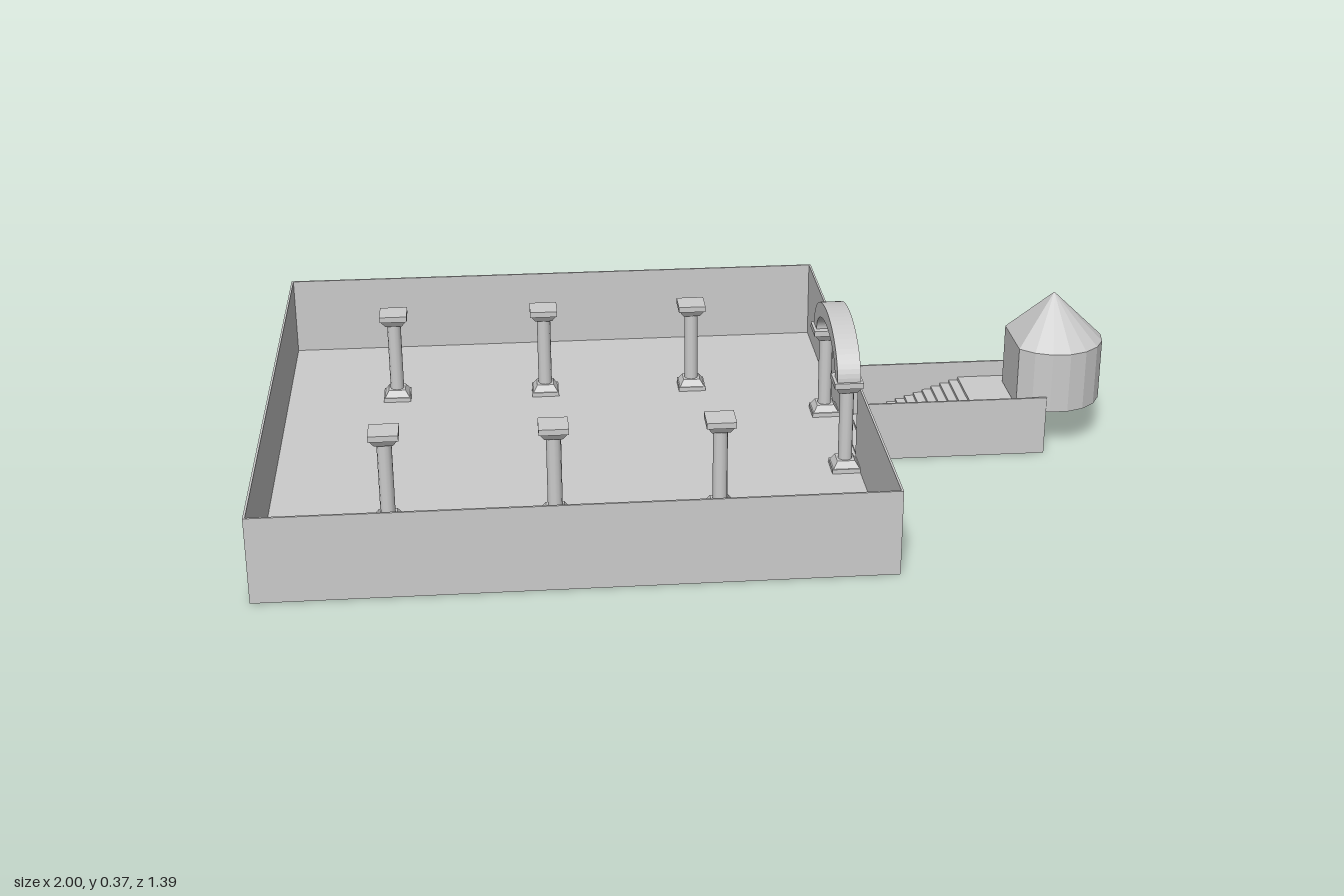
import * as THREE from 'three';
import { ConvexGeometry } from 'three/addons/geometries/ConvexGeometry.js';

const flat = new THREE.MeshStandardMaterial({ color: 0xcccccc, flatShading: true, side: THREE.DoubleSide });
const smooth = new THREE.MeshStandardMaterial({ color: 0xcccccc });

function add(parent, name, geometry, material = flat) {
  const mesh = new THREE.Mesh(geometry, material);
  mesh.name = name;
  parent.add(mesh);
  return mesh;
}

// box given by its minimum and maximum corners
function block(parent, name, [x0, y0, z0], [x1, y1, z1]) {
  const mesh = add(parent, name, new THREE.BoxGeometry(x1 - x0, y1 - y0, z1 - z0));
  mesh.position.set((x0 + x1) / 2, (y0 + y1) / 2, (z0 + z1) / 2);
}

// square block whose half-width changes from bottom to top
function taper(parent, name, y0, y1, half0, half1) {
  const r = Math.SQRT2;
  const geometry = new THREE.CylinderGeometry(half1 * r, half0 * r, y1 - y0, 4);
  geometry.rotateY(Math.PI / 4);
  add(parent, name, geometry).position.y = (y0 + y1) / 2;
}

function column(name, x, z) {
  const group = new THREE.Group();
  group.name = name;
  taper(group, 'plinth', 0, 0.014, 0.034, 0.034);
  taper(group, 'baseTaper', 0.014, 0.03, 0.031, 0.021);
  const shaft = add(group, 'shaft', new THREE.CylinderGeometry(0.017, 0.017, 0.177, 12), smooth);
  shaft.position.y = 0.1185;
  taper(group, 'capitalTaper', 0.205, 0.221, 0.021, 0.031);
  taper(group, 'abacus', 0.221, 0.235, 0.034, 0.034);
  group.position.set(x, 0, z);
  return group;
}

export function createModel() {
  const model = new THREE.Group();
  const t = 0.005, left = -1, right = 0.39, half = 0.695, wallTop = 0.2, gate = 0.12;

  // courtyard floor and its thin walls, open at the gate
  block(model, 'courtyardFloor', [left, 0, -half], [right, 0.003, half]);
  block(model, 'endWall', [left, 0, -half], [left + t, wallTop, half]);
  for (const s of [-1, 1]) {
    const span = (a, b) => [Math.min(a * s, b * s), Math.max(a * s, b * s)];
    let [z0, z1] = span(half - t, half);
    block(model, 'sideWall', [left, 0, z0], [right, wallTop, z1]);
    [z0, z1] = span(gate, half);
    block(model, 'gateWall', [right - t, 0, z0], [right, wallTop, z1]);
    // corridor wall beside the stairs
    [z0, z1] = span(gate - t, gate);
    block(model, 'corridorWall', [right, 0, z0], [0.845, 0.145, z1]);
  }

  // two rows of columns and the pair that carries the arch
  for (const z of [-0.355, 0.355]) {
    for (const x of [-0.72, -0.343, 0.033]) model.add(column('column', x, z));
  }
  for (const z of [-0.163, 0.163]) model.add(column('gateColumn', 0.352, z));

  // elliptical gate arch
  const arch = new THREE.Shape();
  arch.absellipse(0, 0, 0.19, 0.107, 0, Math.PI, false);
  arch.absellipse(0, 0, 0.147, 0.07, Math.PI, 0, true);
  const archGeometry = new THREE.ExtrudeGeometry(arch, { depth: 0.055, bevelEnabled: false, curveSegments: 16 });
  archGeometry.rotateY(Math.PI / 2);
  add(model, 'gateArch', archGeometry).position.set(0.325, 0.234, 0);

  // thin folded stair climbing to the landing under the tower
  const steps = 14, run = 0.31 / steps, rise = 0.105 / steps, thick = 0.012;
  const top = [];
  for (let i = 0; i < steps; i++) {
    top.push([right + i * run, i * rise], [right + i * run, (i + 1) * rise]);
  }
  top.push([0.845, 0.105]);
  const bottom = top.map(([x, y]) => [x + (x < 0.8 ? 0.008 : 0), Math.max(0, y - thick)]).reverse();
  const profile = new THREE.Shape([...top, ...bottom].map(([x, y]) => new THREE.Vector2(x, y)));
  const stairGeometry = new THREE.ExtrudeGeometry(profile, { depth: 2 * (gate - t), bevelEnabled: false });
  add(model, 'stairs', stairGeometry).position.z = -(gate - t);

  // round tower with one flat side toward the stairs, under a pointed roof
  const ring = (y) => Array.from({ length: 15 }, (_, i) => {
    const a = THREE.MathUtils.degToRad(-142 + (284 * i) / 14);
    return new THREE.Vector3(0.878 + 0.122 * Math.cos(a), y, 0.122 * Math.sin(a));
  });
  add(model, 'tower', new ConvexGeometry([...ring(0.107), ...ring(0.255)]));
  add(model, 'towerRoof', new ConvexGeometry([...ring(0.255), new THREE.Vector3(0.878, 0.37, 0)]));

  return model;
}
